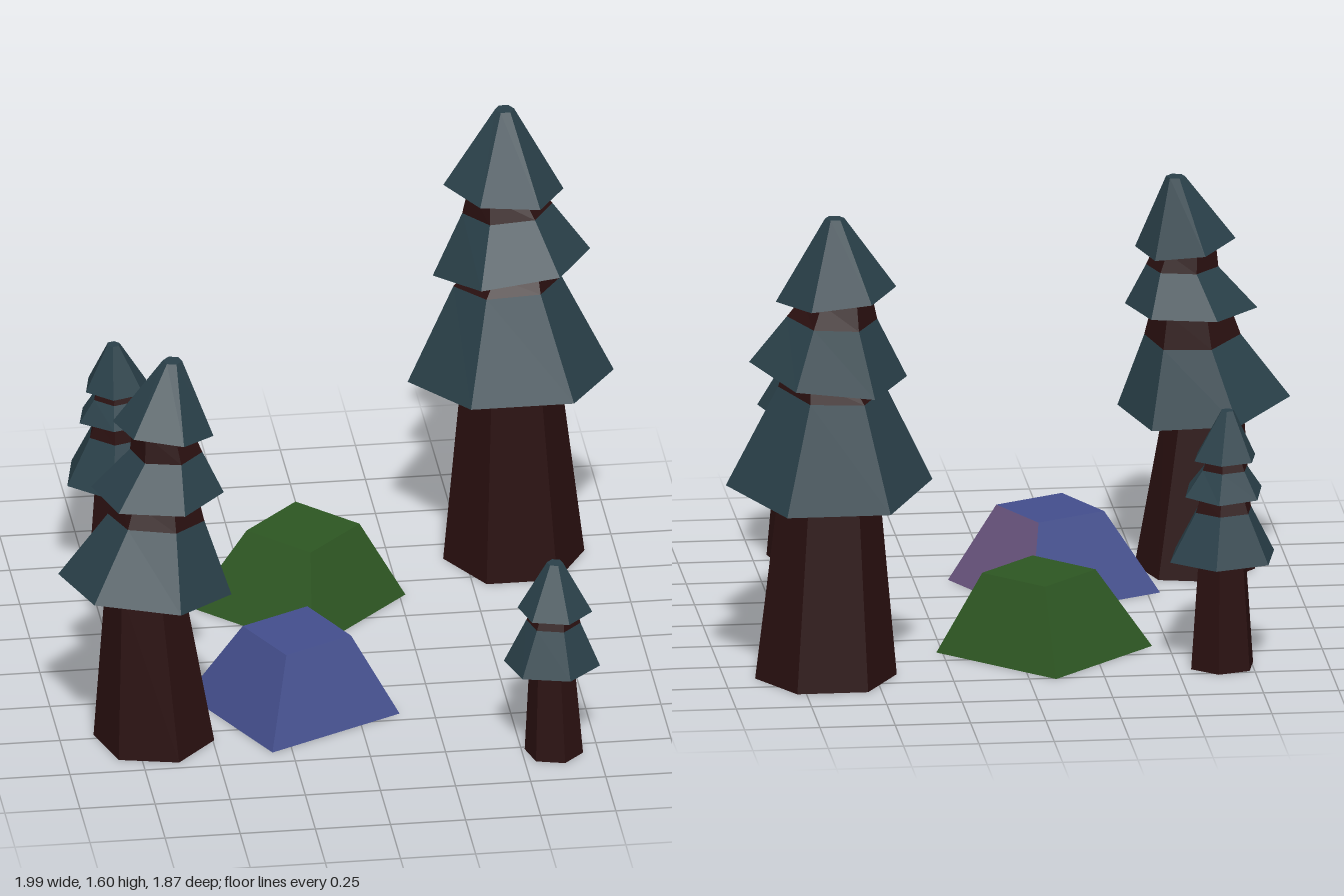
import * as THREE from 'three';

const mat = (name, color) => {
  const m = new THREE.MeshStandardMaterial({ color, flatShading: true });
  m.name = name;
  return m;
};

// A ring is [x, y, z, radius, slopeX, slopeZ]: a polygon lying on a tilted plane.
function ringPoint([x, y, z, r, sx = 0, sz = 0], sides, turn, i) {
  const a = THREE.MathUtils.degToRad(turn) + (i / sides) * Math.PI * 2;
  const dx = Math.cos(a) * r, dz = Math.sin(a) * r;
  return [x + dx, y + sx * dx + sz * dz, z + dz];
}

// Faces between pairs of rings; a pair may be limited to some of its sides.
function makeFaces(name, material, pairs, sides, turn) {
  const pos = [];
  for (const [low, high, only] of pairs) {
    for (let i = 0; i < sides; i++) {
      if (only && !only.includes(i)) continue;
      const a = ringPoint(low, sides, turn, i), b = ringPoint(low, sides, turn, i + 1);
      const c = ringPoint(high, sides, turn, i + 1), d = ringPoint(high, sides, turn, i);
      if (high[3] > 0) pos.push(...a, ...d, ...c);
      if (low[3] > 0) pos.push(...a, ...c, ...b);
    }
  }
  const geo = new THREE.BufferGeometry();
  geo.setAttribute('position', new THREE.Float32BufferAttribute(pos, 3));
  geo.computeVertexNormals();
  const mesh = new THREE.Mesh(geo, material);
  mesh.name = name;
  return mesh;
}

// Centre of a ring, used to close it
const centre = (r) => [r[0], r[1], r[2], 0];

// Six-sided tree: each tier has a neck radius, a skirt ring and a top ring
function makeTree(name, turn, base, tiers, bark, needles) {
  const trunk = [[centre(base), base]], foliage = [];
  let below = base;
  for (const { neck, skirt, top } of tiers) {
    const collar = [...skirt];
    collar[3] = neck;
    trunk.push([below, collar], [collar, skirt]); // stem, then underside
    foliage.push([skirt, top]);
    below = top;
  }
  foliage.push([below, centre(below)]);
  const g = new THREE.Group();
  g.name = name;
  g.add(makeFaces('trunk', bark, trunk, 6, turn), makeFaces('foliage', needles, foliage, 6, turn));
  return g;
}

// Four-sided rock: tapered block, with an optional differently coloured side
function makeRock(name, turn, base, top, main, under, accent) {
  const g = new THREE.Group();
  g.name = name;
  g.add(makeFaces('rockBody', main, [[base, top, accent ? [0, 1, 2] : null], [top, centre(top)]], 4, turn));
  g.add(makeFaces('rockUnderside', under, [[centre(base), base]], 4, turn));
  if (accent) g.add(makeFaces('rockAccentSide', accent, [[base, top, [3]]], 4, turn));
  return g;
}

export function createModel() {
  const bark = mat('darkBark', 0x2a1010);
  const needles = mat('darkTeal', 0x2a4049);
  const green = mat('mossGreen', 0x2d5622);
  const blue = mat('slateBlue', 0x434e8c);
  const purple = mat('dustyPurple', 0x6b5680);

  const model = new THREE.Group();
  model.name = 'forestPatch';

  model.add(makeTree('largeTree', 0, [0.663, 0, -0.645, 0.235], [
    { neck: 0.165, skirt: [0.652, 0.665, -0.64, 0.343, 0, 0.115], top: [0.645, 1.0, -0.67, 0.18, 0.04, 0.12] },
    { neck: 0.14, skirt: [0.66, 1.065, -0.68, 0.262, 0.125, 0.13], top: [0.65, 1.25, -0.71, 0.15, 0.06, 0.08] },
    { neck: 0.115, skirt: [0.637, 1.33, -0.71, 0.2, -0.1, 0.02], top: [0.645, 1.6, -0.743, 0.032] },
  ], bark, needles));

  model.add(makeTree('mediumTree', 13, [-0.69, 0, 0.52, 0.2], [
    { neck: 0.13, skirt: [-0.72, 0.57, 0.52, 0.287, -0.107, 0.09], top: [-0.68, 0.805, 0.5, 0.16, -0.06, 0.1] },
    { neck: 0.13, skirt: [-0.675, 0.905, 0.495, 0.22], top: [-0.645, 1.045, 0.49, 0.12] },
    { neck: 0.1, skirt: [-0.655, 1.125, 0.487, 0.167, -0.14, 0.09], top: [-0.62, 1.36, 0.46, 0.032] },
  ], bark, needles));

  model.add(makeTree('smallBackTree', -18, [-0.65, 0, -0.66, 0.112], [
    { neck: 0.085, skirt: [-0.65, 0.375, -0.66, 0.188], top: [-0.655, 0.535, -0.658, 0.1] },
    { neck: 0.08, skirt: [-0.655, 0.595, -0.655, 0.138, 0, 0.08], top: [-0.66, 0.675, -0.65, 0.08] },
    { neck: 0.065, skirt: [-0.66, 0.71, -0.65, 0.11], top: [-0.67, 0.87, -0.64, 0.022] },
  ], bark, needles));

  model.add(makeTree('smallFrontTree', 15, [0.605, 0, 0.79, 0.097], [
    { neck: 0.075, skirt: [0.6, 0.32, 0.78, 0.16, 0, 0.04], top: [0.605, 0.475, 0.78, 0.09] },
    { neck: 0.075, skirt: [0.61, 0.518, 0.78, 0.124], top: [0.612, 0.685, 0.768, 0.027] },
  ], bark, needles));

  model.add(makeRock('blueRock', 18.5, [-0.203, 0, 0.34, 0.358], [-0.19, 0.27, 0.338, 0.182], blue, bark, purple));
  model.add(makeRock('greenRock', 0, [-0.088, 0, -0.403, 0.358], [-0.07, 0.27, -0.407, 0.188], green, bark));

  return model;
}
